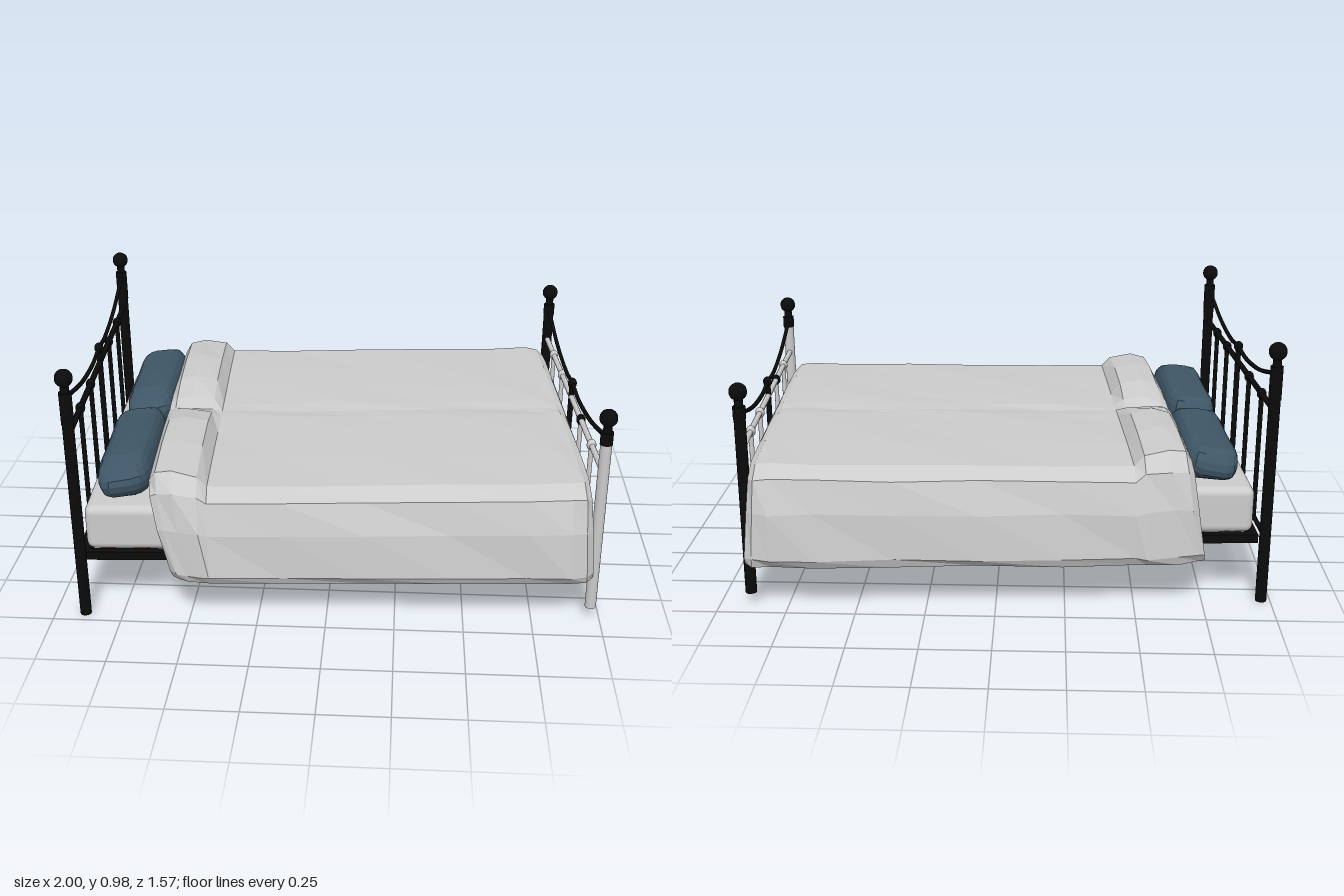
import * as THREE from 'three';
import { RoundedBoxGeometry } from 'three/addons/geometries/RoundedBoxGeometry.js';

const mat = (color, extra = {}) => new THREE.MeshStandardMaterial({ color, ...extra });
const GREY = mat(0xcccccc);
const SHEET = mat(0xcccccc, { flatShading: true, side: THREE.DoubleSide });
const BLACK = mat(0x0b0b0b);
const WOOD = mat(0xb0481c);
const BLUE = mat(0x3e5666, { flatShading: true });

function add(parent, name, geometry, material, x = 0, y = 0, z = 0) {
  const mesh = new THREE.Mesh(geometry, material);
  mesh.name = name;
  mesh.position.set(x, y, z);
  parent.add(mesh);
  return mesh;
}

// Upright round bar between two heights
function upright(parent, name, r, y0, y1, x, z, material) {
  add(parent, name, new THREE.CylinderGeometry(r, r, y1 - y0, 12), material, x, (y0 + y1) / 2, z);
}

// Round bar running along z
function crossBar(parent, name, r, length, y, material) {
  const bar = add(parent, name, new THREE.CylinderGeometry(r, r, length, 10), material, 0, y, 0);
  bar.rotation.x = Math.PI / 2;
}

const HALF_L = 0.929, HALF_W = 0.645;

// One end of the bedstead: posts, rails, spindles, knobs and swag bar
function bedEnd(o) {
  const g = new THREE.Group();
  g.name = o.name;
  g.position.x = o.x;
  g.rotation.y = 0.016;
  for (const s of [1, -1]) {
    const z = s * HALF_W, base = s > 0 ? o.postMaterial : BLACK;
    upright(g, 'post', 0.021, o.bottom, o.sleeve, 0, z, base);
    upright(g, 'postSleeve', 0.023, o.sleeve, o.top - 0.085, 0, z, BLACK);
    upright(g, 'postNeck', 0.016, o.top - 0.09, o.top - 0.05, 0, z, BLACK);
    add(g, 'postBall', new THREE.SphereGeometry(0.032, 16, 12), BLACK, 0, o.top - 0.032, z);
  }
  crossBar(g, 'upperRail', 0.011, 2 * HALF_W, o.rail, o.barMaterial);
  crossBar(g, 'lowerRail', 0.009, 2 * HALF_W, o.low, o.barMaterial);
  for (let i = -2; i <= 2; i++) {
    const z = i * 0.217 - 0.014, mid = i === 0;
    const knobY = mid ? o.dip + 0.004 : o.rail;
    upright(g, 'spindle', mid ? 0.011 : 0.009, o.low, knobY, 0, z, mid ? BLACK : o.barMaterial);
    const knob = add(g, 'knob', new THREE.SphereGeometry(0.021, 12, 8), mid || i === 1 ? BLACK : o.barMaterial, 0, knobY, z);
    knob.scale.x = 0.85;
  }
  const rise = o.swagEnd - o.dip;
  const pts = [[-1, 1], [-0.8, 0.55], [-0.55, 0.15], [-0.22, -0.06], [-0.02, 0.04], [0.2, -0.06], [0.55, 0.2], [0.8, 0.62], [1, 1]]
    .map(([t, h]) => new THREE.Vector3(0, o.dip + h * rise, t * HALF_W));
  add(g, 'swagBar', new THREE.TubeGeometry(new THREE.CatmullRomCurve3(pts), 40, 0.008, 8), BLACK);
  return g;
}

// Side rails, middle beam, support leg and two columns of slats
function bedBase() {
  const g = new THREE.Group();
  g.name = 'bedBase';
  for (const z of [-0.63, 0, 0.63]) {
    add(g, z ? 'sideRail' : 'middleBeam', new THREE.BoxGeometry(1.79, 0.032, z ? 0.03 : 0.04), BLACK, -0.02, 0.243, z);
  }
  add(g, 'headRail', new THREE.BoxGeometry(0.03, 0.032, 1.26), BLACK, -0.9, 0.243, 0);
  upright(g, 'supportLeg', 0.012, 0.03, 0.23, -0.01, -0.015, BLACK);
  const slat = new THREE.BoxGeometry(0.052, 0.014, 0.6);
  for (let i = 0; i < 14; i++) {
    for (const s of [-1, 1]) add(g, 'slat', slat, WOOD, -0.83 + i * 0.126, 0.243, s * 0.315);
  }
  return g;
}

// Squarish cushion with a plump middle and a lightly creased surface
function pillow(parent, name, x, z) {
  const geo = new THREE.SphereGeometry(1, 18, 10);
  const p = geo.attributes.position;
  const square = (v, e) => Math.sign(v) * Math.abs(v) ** e;
  for (let i = 0; i < p.count; i++) {
    const a = p.getX(i), b = p.getY(i), c = p.getZ(i);
    p.setXYZ(i, square(a, 0.5) * 0.1, square(b, 0.95) * 0.073 + 0.006 * Math.sin(c * 7 + a * 2), square(c, 0.42) * 0.304);
  }
  const mesh = add(parent, name, geo, BLUE, x, 0.497, z);
  mesh.rotation.z = 0.13;
}

// Draped cover lofted from cross-sections along the bed
function blanket() {
  // z, y, share of the pillow bump, amount of hem
  const half = [
    [0.66, 0.185, 0, 1], [0.73, 0.182, 0, 1], [0.75, 0.215, 0, 0.9], [0.735, 0.38, 0.1, 0.4],
    [0.7, 0.495, 0.4, 0.1], [0.64, 0.532, 0.8, 0], [0.42, 0.537, 1, 0], [0.2, 0.537, 0.9, 0], [0.06, 0.535, 0.4, 0],
  ];
  const profile = [...half, [0, 0.53, 0.1, 0], ...half.slice().reverse().map(([z, ...r]) => [-z, ...r])];
  // x, width, bump, top lift, hem shift along the bed
  const stations = [
    [-0.63, 0.92, -0.06, -0.01, 0.07], [-0.665, 0.94, 0, 0, 0.08], [-0.64, 0.965, 0.045, 0, 0.08], [-0.58, 0.985, 0.062, 0, 0.055],
    [-0.49, 1, 0.04, 0, 0.015], [-0.455, 1, 0, -0.008, 0.005], [-0.2, 1, 0, -0.005, 0], [0.1, 1, 0, -0.002, 0],
    [0.4, 1, 0, 0.002, 0], [0.68, 1, 0, 0.006, 0], [0.83, 1, 0, 0.01, 0.005], [0.88, 0.985, 0, 0.006, 0.018],
    [0.903, 0.94, 0, -0.008, 0.025], [0.908, 0.86, 0, -0.014, 0.018], [0.908, 0, 0, -0.014, 0],
  ];
  const pos = [], index = [], n = profile.length;
  stations.forEach(([x, w, bump, lift, hem], i) => profile.forEach(([z, y, b, h], j) => {
    const fold = Math.sin(i * 2.3 + j * 1.7) * 0.006;
    const shift = hem * h * (x > 0 || z > 0 ? 1 : -0.6);
    pos.push(x + shift, y + b * bump + lift * (1 - h) + fold * 0.4, (z + (h > 0 ? fold : 0)) * w);
    if (i && j) {
      const a = (i - 1) * n + j - 1, c = i * n + j - 1;
      index.push(a, c, a + 1, a + 1, c, c + 1);
    }
  }));
  const geo = new THREE.BufferGeometry();
  geo.setAttribute('position', new THREE.Float32BufferAttribute(pos, 3));
  geo.setIndex(index);
  geo.computeVertexNormals();
  return geo;
}

export function createModel() {
  const root = new THREE.Group();
  root.name = 'bed';
  const bed = new THREE.Group();
  bed.name = 'bedAssembly';
  bed.rotation.y = 0.045;
  bed.position.z = 0.016;
  root.add(bed);

  bed.add(bedEnd({
    name: 'headboard', x: -HALF_L, bottom: 0, sleeve: 0.77, top: 0.975, rail: 0.73, low: 0.25,
    dip: 0.785, swagEnd: 0.87, postMaterial: BLACK, barMaterial: BLACK,
  }));
  bed.add(bedEnd({
    name: 'footboard', x: HALF_L, bottom: 0.043, sleeve: 0.705, top: 0.836, rail: 0.592, low: 0.12,
    dip: 0.645, swagEnd: 0.73, postMaterial: GREY, barMaterial: GREY,
  }));
  bed.add(bedBase());

  // Bedding
  add(bed, 'mattress', new RoundedBoxGeometry(1.78, 0.175, 1.25, 3, 0.03), GREY, -0.01, 0.342, 0);
  pillow(bed, 'leftPillow', -0.765, 0.295);
  pillow(bed, 'rightPillow', -0.752, -0.318);
  const cover = add(bed, 'blanket', blanket(), SHEET, 0, 0, -0.007);
  cover.rotation.y = 0.007;
  return root;
}
